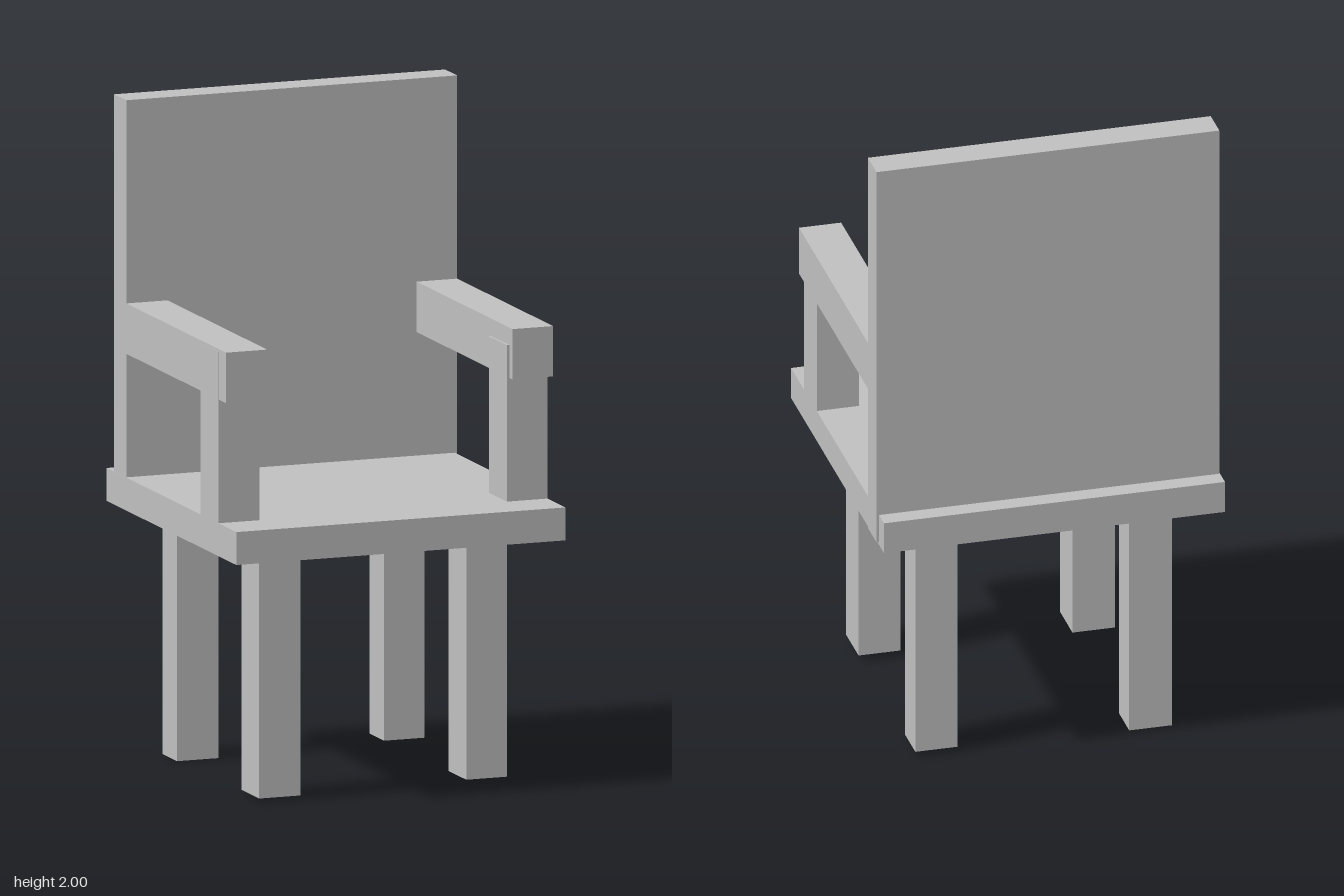
import * as THREE from 'three';

export function createModel() {
  const model = new THREE.Group();
  model.name = 'armchair';
  const grey = new THREE.MeshStandardMaterial({ color: 0xbfbfbf });
  grey.name = 'light grey';

  // Box given by its extents along each axis
  const box = (name, [x0, x1], [y0, y1], [z0, z1]) => {
    const mesh = new THREE.Mesh(new THREE.BoxGeometry(x1 - x0, y1 - y0, z1 - z0), grey);
    mesh.position.set((x0 + x1) / 2, (y0 + y1) / 2, (z0 + z1) / 2);
    mesh.name = name;
    model.add(mesh);
  };

  // Seat and backrest
  box('seat', [-0.532, 0.52], [0.755, 0.855], [-0.534, 0.531]);
  box('backrest', [-0.53, 0.528], [0.765, 2], [-0.477, -0.378]);

  // Armrests, slightly uneven in length
  box('rightArmrest', [-0.53, -0.398], [1.23, 1.383], [-0.378, 0.44]);
  box('leftArmrest', [0.398, 0.528], [1.23, 1.383], [-0.378, 0.41]);

  // Armrest posts
  box('rightArmPost', [-0.532, -0.4], [0.855, 1.375], [0.236, 0.384]);
  box('leftArmPost', [0.39, 0.52], [0.855, 1.33], [0.236, 0.384]);

  // Legs, with slightly uneven feet
  const front = [0.24, 0.385], back = [-0.41, -0.29];
  const right = [-0.402, -0.27], left = [0.26, 0.39];
  box('frontRightLeg', right, [0.01, 0.755], front);
  box('frontLeftLeg', left, [0.02, 0.755], front);
  box('backRightLeg', right, [0, 0.755], back);
  box('backLeftLeg', left, [0.015, 0.755], back);

  return model;
}
